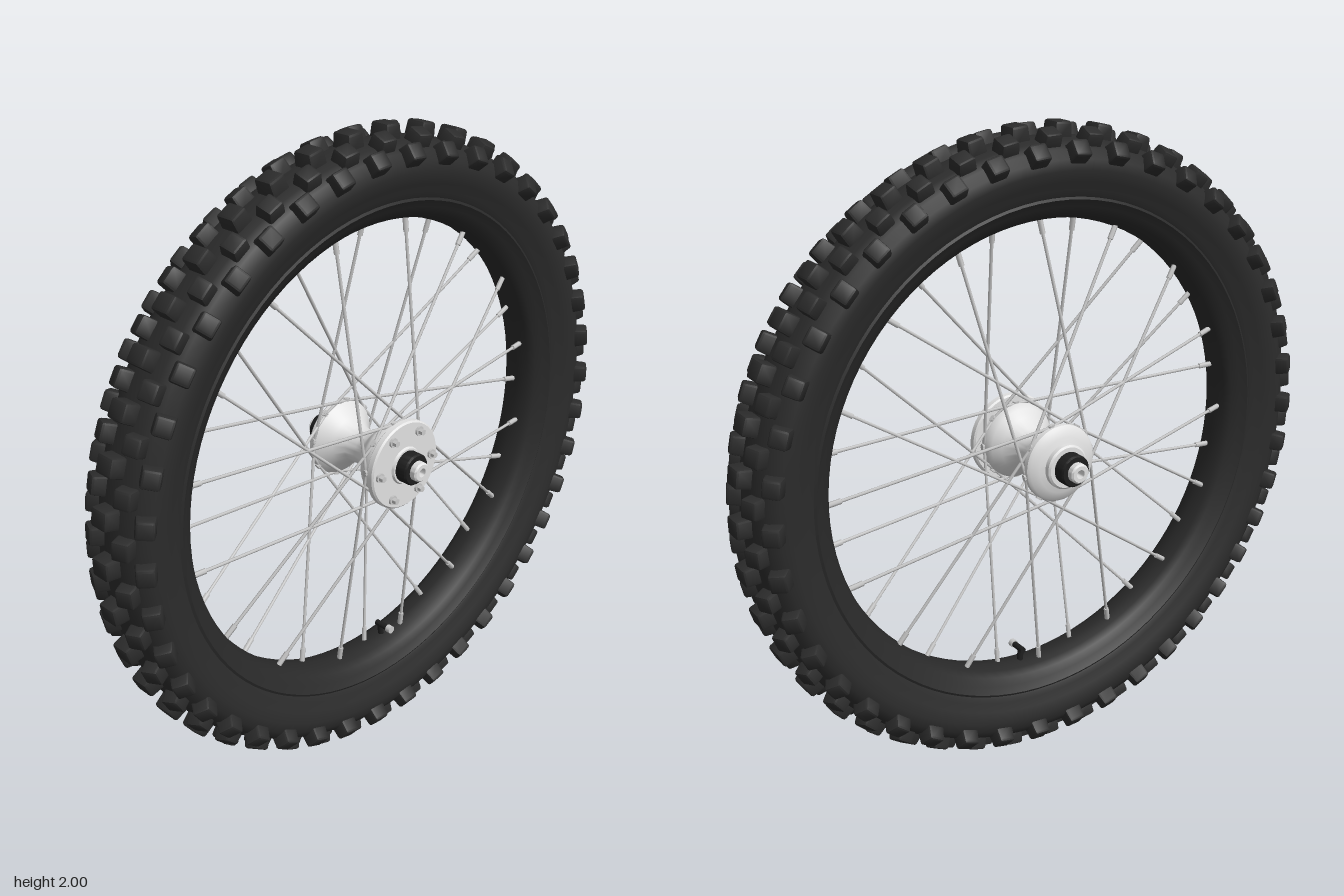
import * as THREE from 'three';
import { mergeGeometries, toCreasedNormals } from 'three/addons/utils/BufferGeometryUtils.js';
import { RoundedBoxGeometry } from 'three/addons/geometries/RoundedBoxGeometry.js';

const mat = (name, color) => {
  const m = new THREE.MeshStandardMaterial({ color });
  m.name = name;
  return m;
};

// Surface of revolution about the z axis from [radius, z] pairs
function turned(points, segments = 48, crease = 0.6) {
  const g = new THREE.LatheGeometry(points.map(([r, z]) => new THREE.Vector2(r, z)), segments);
  g.rotateX(Math.PI / 2);
  return toCreasedNormals(g, crease);
}

// Straight rod between two points
function rod(a, b, radius, sides = 6) {
  const d = b.clone().sub(a);
  const g = new THREE.CylinderGeometry(radius, radius, d.length(), sides);
  g.applyQuaternion(new THREE.Quaternion().setFromUnitVectors(new THREE.Vector3(0, 1, 0), d.clone().normalize()));
  const c = a.clone().add(b).multiplyScalar(0.5);
  return g.translate(c.x, c.y, c.z);
}

const polar = (r, a, z) => new THREE.Vector3(r * Math.cos(a), r * Math.sin(a), z);

export function createModel() {
  const rubber = mat('rubber', 0x2b2b2b);
  const rimBlack = mat('rim black', 0x292929);
  const sealBlack = mat('seal black', 0x1e1e1e);
  const alloy = mat('alloy', 0xe0e0e0);
  const steel = mat('steel', 0xc8c8c8);

  const model = new THREE.Group();
  model.name = 'wheel';
  const wheel = new THREE.Group();
  wheel.name = 'wheelAssembly';
  wheel.position.y = 1;
  model.add(wheel);
  const add = (name, geometry, material) => {
    const m = new THREE.Mesh(geometry, material);
    m.name = name;
    wheel.add(m);
    return m;
  };

  // Tire carcass, half section mirrored in z
  const half = [[0.785, 0.078], [0.8, 0.09], [0.815, 0.093], [0.84, 0.106], [0.875, 0.116], [0.905, 0.112],
    [0.932, 0.094], [0.95, 0.06], [0.958, 0.025]];
  const section = [...half.map(([r, z]) => [r, -z]), ...half.slice().reverse(), [0.785, -0.078]];
  add('tire', turned(section, 96), rubber);

  // Tread knobs: centre and side blocks alternate with shoulder pairs
  const block = (length, height, width) => {
    const g = new RoundedBoxGeometry(length, height, width, 1, 0.008);
    const p = g.attributes.position;
    for (let i = 0; i < p.count; i++) {
      const k = 1 - 0.12 * (p.getY(i) / height + 0.5);
      p.setX(i, p.getX(i) * k);
      p.setZ(i, p.getZ(i) * k);
    }
    return toCreasedNormals(g, 0.5);
  };
  const rows = [
    { phase: 0.5, r: 0.97, z: 0, tilt: 0, size: [0.062, 0.06, 0.072] },
    { phase: 0, r: 0.956, z: 0.06, tilt: 0.4, size: [0.062, 0.058, 0.06] },
    { phase: 0.5, r: 0.925, z: 0.106, tilt: 0.88, size: [0.062, 0.056, 0.06] },
  ];
  const count = 42;
  const knobs = [];
  for (const row of rows) {
    const base = block(...row.size);
    for (const side of row.z ? [1, -1] : [1]) {
      for (let i = 0; i < count; i++) {
        const m = new THREE.Matrix4().makeRotationZ(((i + row.phase) / count) * Math.PI * 2)
          .multiply(new THREE.Matrix4().makeTranslation(0, row.r, row.z * side))
          .multiply(new THREE.Matrix4().makeRotationX(row.tilt * side));
        knobs.push(base.clone().applyMatrix4(m));
      }
    }
  }
  add('treadKnobs', mergeGeometries(knobs), rubber);

  // Rim with raised lips and a dropped centre
  const lip = [[0.728, 0.04], [0.742, 0.062], [0.766, 0.074], [0.788, 0.09], [0.8, 0.084]];
  add('rim', turned([[0.721, 0], ...lip.map(([r, z]) => [r, -z]), ...lip.slice().reverse(), [0.721, 0]], 96),
    rimBlack);

  // Hub shell: two spoke drums joined by a waist
  add('hubShell', turned([[0.03, -0.17], [0.064, -0.17], [0.07, -0.165], [0.07, -0.15], [0.088, -0.145],
    [0.114, -0.136], [0.121, -0.128], [0.121, -0.112], [0.108, -0.096], [0.08, -0.072], [0.058, -0.04], [0.054, 0],
    [0.06, 0.03], [0.088, 0.06], [0.11, 0.082], [0.12, 0.098], [0.12, 0.125], [0.1, 0.138], [0.03, 0.138]]), alloy);

  // Brake mounting disc and its bolts
  add('mountingDisc', turned([[0.03, 0.136], [0.136, 0.136], [0.141, 0.141], [0.141, 0.158], [0.136, 0.163],
    [0.06, 0.163], [0.056, 0.17], [0.03, 0.17]]), alloy);
  const bolts = [];
  for (let i = 0; i < 6; i++) {
    const a = (i * Math.PI) / 3;
    bolts.push(rod(polar(0.112, a, 0.15), polar(0.112, a, 0.17), 0.015, 12));
    bolts.push(rod(polar(0.112, a, 0.16), polar(0.112, a, 0.184), 0.01, 6));
  }
  add('discBolts', toCreasedNormals(mergeGeometries(bolts), 0.6), steel);

  // Bearing seals and hollow axle
  for (const [name, s] of [['front', 1], ['rear', -1]]) {
    const seal = add(name + 'Seal', turned([[0.028, 0.165], [0.05, 0.165], [0.05, 0.204], [0.046, 0.21],
      [0.028, 0.21]], 32), sealBlack);
    if (s < 0) seal.rotation.y = Math.PI;
  }
  add('axle', turned([[0, -0.2], [0.014, -0.2], [0.014, -0.233], [0.026, -0.233], [0.031, -0.228], [0.031, 0.228],
    [0.026, 0.233], [0.014, 0.233], [0.014, 0.2], [0, 0.2]], 32), alloy);

  // Crossed spokes with nipples at the rim and heads at the hub, repeating every four
  const spokes = [], nipples = [];
  const directions = [1, 1, -1, -1];
  for (let k = 0; k < 32; k++) {
    const a = (k * Math.PI) / 16;
    const side = k % 2 ? 1 : -1;
    const hubAngle = a + directions[k % 4] * 1.4;
    const hub = polar(0.118, hubAngle, side * 0.114);
    const rim = polar(0.73, a, side * 0.014);
    spokes.push(rod(hub, rim, 0.005));
    spokes.push(rod(polar(0.11, hubAngle, side * 0.114), polar(0.127, hubAngle, side * 0.114), 0.008));
    nipples.push(rod(rim.clone().lerp(hub, 0.07), rim, 0.0085));
  }
  add('spokes', mergeGeometries(spokes), steel);
  add('spokeNipples', mergeGeometries(nipples), steel);

  // Tire valve: short stem with an elbow turned towards the front
  const va = -1.48;
  add('valveStem', mergeGeometries([
    rod(polar(0.73, va, 0), polar(0.68, va, 0), 0.01, 12),
    rod(polar(0.685, va, -0.015), polar(0.685, va, 0.045), 0.01, 12),
  ]), sealBlack);
  add('valveCap', rod(polar(0.685, va, 0.035), polar(0.685, va, 0.052), 0.013, 12), steel);

  return model;
}
